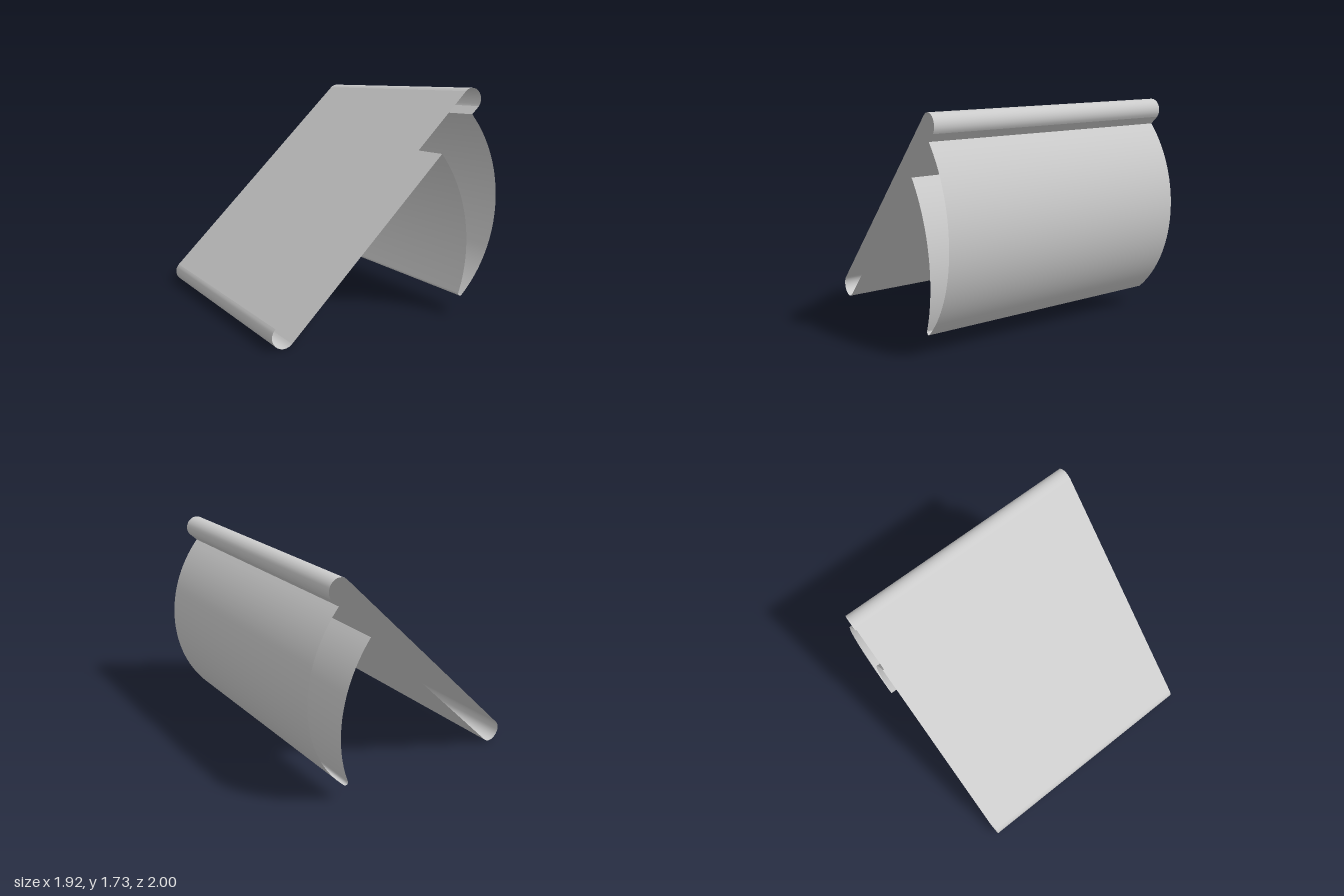
import * as THREE from 'three';

const DEPTH = 2;

// Open sheet: a profile in x/y swept along z, with no end caps
function sheet(name, points, material) {
  const pos = [], index = [];
  points.forEach(([x, y], i) => {
    pos.push(x, y, DEPTH / 2, x, y, -DEPTH / 2);
    if (i > 0) {
      const a = 2 * (i - 1);
      index.push(a, a + 1, a + 2, a + 1, a + 3, a + 2);
    }
  });
  const geometry = new THREE.BufferGeometry();
  geometry.setAttribute('position', new THREE.Float32BufferAttribute(pos, 3));
  geometry.setIndex(index);
  geometry.computeVertexNormals();
  const mesh = new THREE.Mesh(geometry, material);
  mesh.name = name;
  return mesh;
}

// Points on a circle between two angles in degrees
function arc(cx, cy, r, from, to, n) {
  return Array.from({ length: n + 1 }, (_, i) => {
    const t = THREE.MathUtils.degToRad(from + (to - from) * i / n);
    return [cx + r * Math.cos(t), cy + r * Math.sin(t)];
  });
}

// Arc from an upper point a down to b, bulging toward +x by `sag` from the chord
function bow(a, b, sag, n) {
  const dx = b[0] - a[0], dy = b[1] - a[1], len = Math.hypot(dx, dy);
  const r = (len * len / 4 + sag * sag) / (2 * sag);
  const cx = (a[0] + b[0]) / 2 - dy / len * (sag - r);
  const cy = (a[1] + b[1]) / 2 + dx / len * (sag - r);
  const deg = (p) => THREE.MathUtils.radToDeg(Math.atan2(p[1] - cy, p[0] - cx));
  return arc(cx, cy, r, deg(a), deg(b), n);
}

export function createModel() {
  const group = new THREE.Group();
  group.name = 'foldedStand';
  const material = new THREE.MeshStandardMaterial({ color: 0xcccccc, side: THREE.DoubleSide });

  const topCurl = arc(0.695, 1.648, 0.085, 135, -38, 12);
  const lowerBend = arc(-0.872, 0.088, 0.088, 135, 315, 16);
  const footBend = arc(0.634, 0.173, 0.02, -45, -185, 8);
  const lipEnd = [0.7, 1.537];
  const innerCorner = [0.428, 1.255];

  const parts = {
    // Sloping panel pair joined by the rounded lower edge
    frontPanel: [lowerBend[0], topCurl[0]],
    lowerBend,
    backPanel: [lowerBend.at(-1), innerCorner],
    // Rounded top edge with its short return lip
    topCurl,
    topLip: [topCurl.at(-1), lipEnd],
    // Crescent leg: outer and inner curves meeting in a tight fold
    outerLeg: bow(lipEnd, footBend[0], 0.283, 32),
    footBend,
    innerLeg: bow(innerCorner, footBend.at(-1), 0.145, 24),
  };
  for (const [name, points] of Object.entries(parts)) group.add(sheet(name, points, material));
  return group;
}
